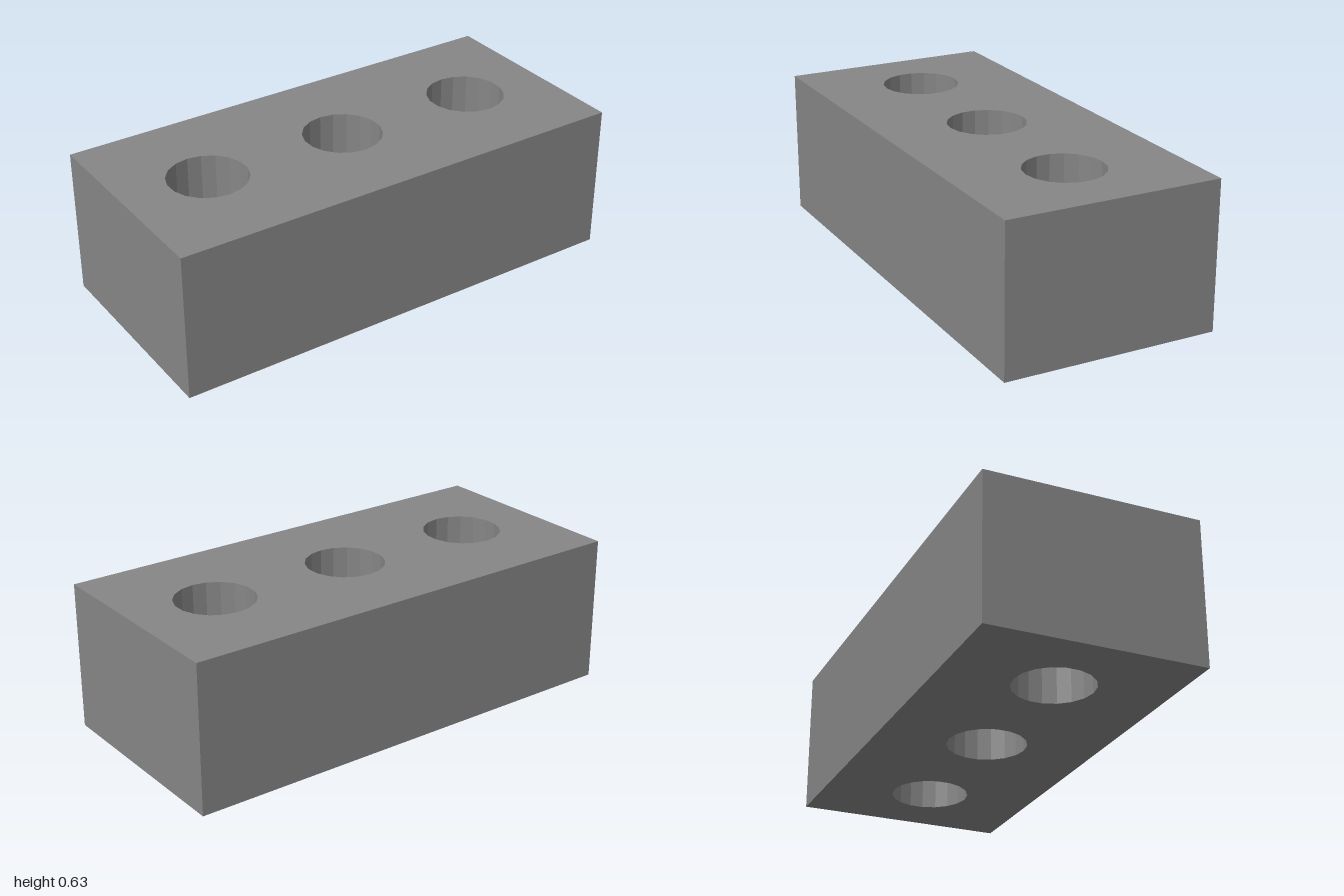
import * as THREE from 'three';

const LENGTH = 2, DEPTH = 0.91, HEIGHT = 0.627;
const HOLE_RADIUS = 0.166, HOLE_SPACING = 0.63, HOLE_SIDES = 18;

export function createModel() {
  const group = new THREE.Group();
  group.name = 'brick';

  // Rectangular footprint
  const x = LENGTH / 2, z = DEPTH / 2;
  const footprint = new THREE.Shape([
    new THREE.Vector2(-x, -z), new THREE.Vector2(x, -z),
    new THREE.Vector2(x, z), new THREE.Vector2(-x, z),
  ]);

  // Row of three round through-holes, each with a corner at front and back
  for (const i of [-1, 0, 1]) {
    const hole = new THREE.Path();
    hole.absarc(i * HOLE_SPACING, 0, HOLE_RADIUS, Math.PI / 2, Math.PI * 2.5, false);
    footprint.holes.push(hole);
  }

  // Extrude upward from the ground (an ellipse gets two sides per curve segment)
  const geometry = new THREE.ExtrudeGeometry(footprint, {
    depth: HEIGHT, bevelEnabled: false, curveSegments: HOLE_SIDES / 2,
  });
  geometry.rotateX(-Math.PI / 2);

  const body = new THREE.Mesh(
    geometry,
    new THREE.MeshStandardMaterial({ color: 0x868686, flatShading: true }),
  );
  body.name = 'brickBody';
  group.add(body);
  return group;
}
